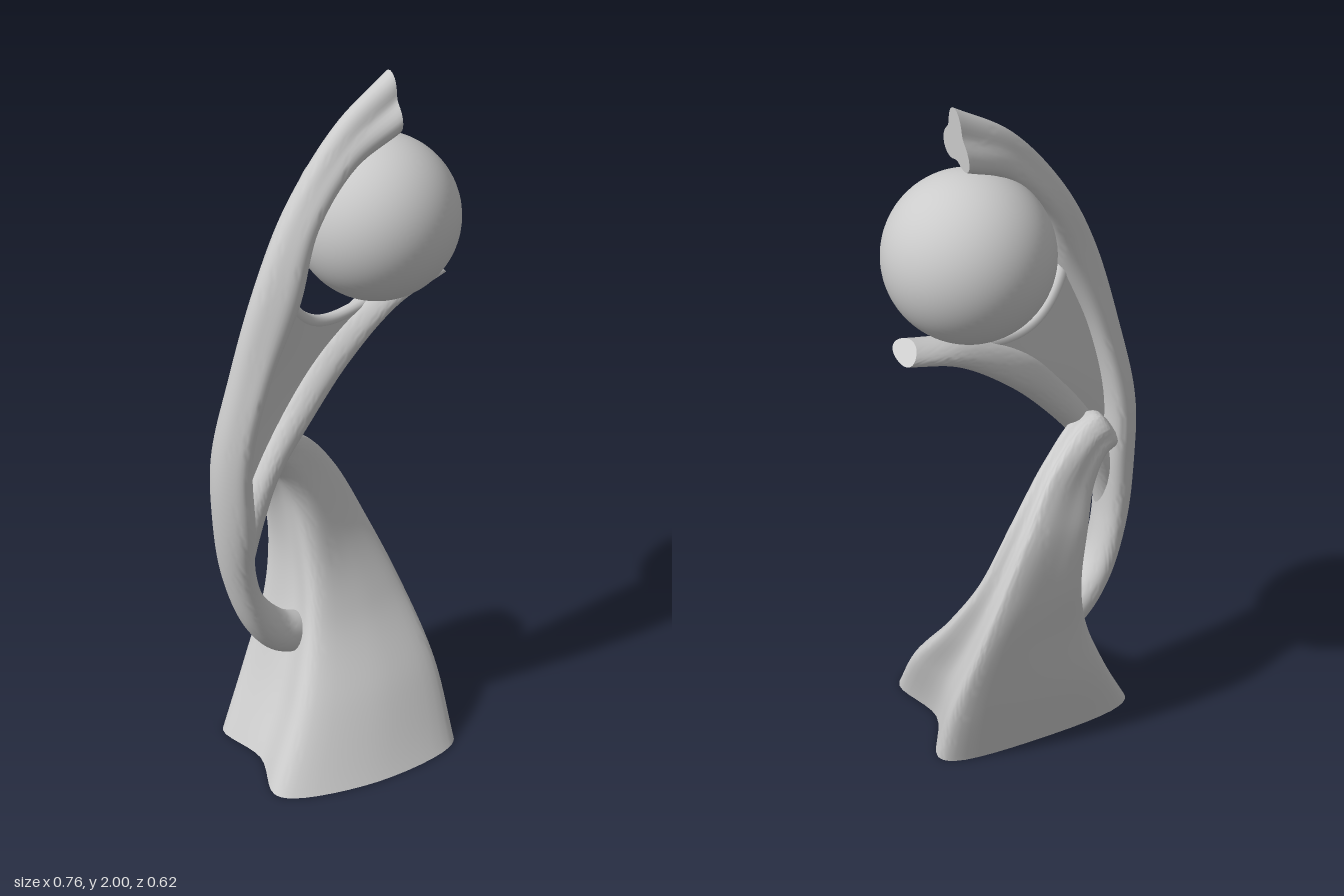
import * as THREE from 'three';
import { toCreasedNormals } from 'three/addons/utils/BufferGeometryUtils.js';

const V = (x, y, z) => new THREE.Vector3(x, y, z);
const grey = new THREE.MeshStandardMaterial({ color: 0xcccccc });
const greyOpen = new THREE.MeshStandardMaterial({ color: 0xcccccc, side: THREE.DoubleSide });

// Skin a list of rings; closed rings can have fan caps at either end
function skin(rings, { closed = true, capStart = false, capEnd = false } = {}) {
  const n = rings[0].length, pos = [], idx = [];
  rings.forEach(r => r.forEach(p => pos.push(p.x, p.y, p.z)));
  for (let i = 0; i < rings.length - 1; i++) {
    for (let j = 0; j < (closed ? n : n - 1); j++) {
      const k = (j + 1) % n, a = i * n + j, b = i * n + k;
      idx.push(a, b, a + n, b, b + n, a + n);
    }
  }
  const cap = (row, flip) => {
    const c = rings[row].reduce((s, p) => s.add(p), V(0, 0, 0)).divideScalar(n);
    const ci = pos.length / 3;
    pos.push(c.x, c.y, c.z);
    for (let j = 0; j < n; j++) {
      const a = row * n + j, b = row * n + (j + 1) % n;
      if (flip) idx.push(ci, b, a); else idx.push(ci, a, b);
    }
  };
  if (capStart) cap(0, true);
  if (capEnd) cap(rings.length - 1, false);
  const g = new THREE.BufferGeometry();
  g.setAttribute('position', new THREE.Float32BufferAttribute(pos, 3));
  g.setIndex(idx);
  return toCreasedNormals(g, 0.9);
}

const spline = pts => new THREE.CatmullRomCurve3(pts);

// Limb from rows: [outerX, outerY, innerX, innerY, z, half depth, lobe strength]
function limb(rows, steps = 90, sides = 40) {
  const outer = spline(rows.map(r => V(r[0], r[1], r[4])));
  const inner = spline(rows.map(r => V(r[2], r[3], r[4])));
  const depth = spline(rows.map((r, i) => V(r[5], r[6], i * 0.1)));
  const rings = [];
  for (let i = 0; i <= steps; i++) {
    const t = i / steps;
    const c = outer.getPoint(t).add(inner.getPoint(t)).multiplyScalar(0.5);
    const u = outer.getPoint(t).sub(c), d = depth.getPoint(t);
    const ring = [];
    for (let j = 0; j < sides; j++) {
      const a = j / sides * Math.PI * 2;
      const r = (1 + d.y * Math.cos(3 * a)) / (1 + d.y);
      const p = c.clone().addScaledVector(u, r * Math.cos(a));
      p.z += d.x * r * Math.sin(a);
      ring.push(p);
    }
    rings.push(ring);
  }
  return skin(rings, { capStart: true, capEnd: true });
}

// Four-cornered skirt section; the front and back bow out, the sides bow in
// Row: [y, tilt, bow, x,z of the corners: front -x, front +x, back +x, back -x]
function skirtRing([y, tilt, bow, ...c], n = 72) {
  const corners = [0, 1, 2, 3].map(i => new THREE.Vector2(c[i * 2], c[i * 2 + 1]));
  const cx = corners.reduce((s, p) => s + p.x, 0) / 4;
  const bulge = [0.055, -0.07, 0.03, -0.05];
  const round = 0.08 + 0.2 * Math.pow(1 - bow, 4);
  const pts = [];
  corners.forEach((p, i) => {
    const q = corners[(i + 1) % 4], dir = q.clone().sub(p).normalize();
    for (const t of [round, 0.5, 1 - round]) {
      const m = p.clone().lerp(q, t);
      const o = bulge[i] * bow * (t === 0.5 ? 1 : 0.2);
      m.x -= dir.y * o;
      m.y += dir.x * o;
      pts.push(V(m.x, y + tilt * (m.x - cx), m.y));
    }
  });
  const curve = new THREE.CatmullRomCurve3(pts, true);
  return Array.from({ length: n }, (_, j) => curve.getPoint(j / n));
}

function skirt() {
  const key = [
    [0.00, 0.0, 1.0, -0.32, 0.265, 0.285, 0.245, 0.30, -0.17, -0.345, -0.125],
    [0.20, 0.0, 0.9, -0.195, 0.165, 0.285, 0.10, 0.27, -0.21, -0.245, -0.175],
    [0.40, 0.0, 0.6, -0.10, 0.04, 0.24, -0.06, 0.21, -0.25, -0.165, -0.20],
    [0.58, 0.05, 0.3, -0.07, -0.03, 0.17, -0.15, 0.135, -0.265, -0.14, -0.23],
    [0.76, 0.2, 0.2, -0.085, -0.07, 0.075, -0.16, 0.045, -0.25, -0.165, -0.215],
    [0.885, 0.7, 0.1, -0.14, -0.06, -0.045, -0.11, -0.055, -0.195, -0.20, -0.17],
    [0.95, 1.7, 0.05, -0.24, -0.02, -0.175, -0.03, -0.175, -0.14, -0.24, -0.14],
    [0.96, 1.9, 0.0, -0.285, -0.03, -0.235, -0.03, -0.235, -0.115, -0.285, -0.115],
    [0.96, 1.9, 0.0, -0.285, -0.06, -0.26, -0.06, -0.26, -0.09, -0.285, -0.09],
  ].map(r => skirtRing(r));
  const columns = key[0].map((_, j) => spline(key.map(r => r[j])));
  const rings = [];
  for (let i = 0; i <= 80; i++) rings.push(columns.map(c => c.getPoint(i / 80)));
  return skin(rings, { capEnd: true });
}

export function createModel() {
  const model = new THREE.Group();
  const add = (name, geometry, material = grey) => {
    const mesh = new THREE.Mesh(geometry, material);
    mesh.name = name;
    model.add(mesh);
    return mesh;
  };

  // Held ball
  add('ball', new THREE.SphereGeometry(0.228, 64, 48)).position.set(0.15, 1.587, -0.083);

  // Flowing hollow base curling up behind the body
  add('skirtBase', skirt(), greyOpen);

  // Long outer band: rounded hook at the bottom, body, raised arm
  add('raisedArm', limb([
    [-0.095, 0.30, -0.08, 0.335, -0.06, 0.025, 0],
    [-0.125, 0.27, -0.08, 0.37, -0.055, 0.055, 0],
    [-0.205, 0.305, -0.15, 0.41, -0.04, 0.065, 0],
    [-0.285, 0.41, -0.225, 0.50, -0.025, 0.067, 0],
    [-0.35, 0.60, -0.26, 0.625, -0.01, 0.072, 0.02],
    [-0.38, 0.81, -0.265, 0.79, 0.01, 0.084, 0.05],
    [-0.38, 1.00, -0.27, 1.02, 0.015, 0.084, 0.07],
    [-0.335, 1.23, -0.215, 1.26, 0.03, 0.077, 0.1],
    [-0.255, 1.50, -0.125, 1.46, 0.03, 0.07, 0.1],
    [-0.15, 1.70, -0.065, 1.635, 0.0, 0.065, 0.1],
    [0.01, 1.89, 0.045, 1.76, -0.035, 0.068, 0.16],
    [0.18, 2.00, 0.174, 1.82, -0.072, 0.095, 0.26],
  ], 110));

  // Lower arm reaching under the ball, growing out of the band
  add('lowerArm', limb([
    [-0.335, 0.56, -0.28, 0.57, 0.0, 0.03, 0],
    [-0.335, 0.69, -0.262, 0.68, 0.005, 0.045, 0],
    [-0.305, 0.84, -0.228, 0.80, 0.0, 0.055, 0],
    [-0.24, 0.975, -0.18, 0.915, -0.01, 0.055, 0],
    [-0.14, 1.12, -0.07, 1.05, -0.035, 0.055, 0.04],
    [-0.01, 1.26, 0.06, 1.18, -0.075, 0.06, 0.06],
    [0.17, 1.365, 0.22, 1.30, -0.115, 0.062, 0.06],
    [0.33, 1.405, 0.378, 1.36, -0.145, 0.068, 0.06],
  ]));

  // Chest web stretched between both arms, sagging towards its rounded top edge
  const left = spline([V(-0.3, 0.8, 0.01), V(-0.3, 1.05, 0.015), V(-0.25, 1.26, 0.02), V(-0.17, 1.5, 0.02)]);
  const right = spline([V(-0.26, 0.8, 0), V(-0.15, 1.03, -0.025), V(0, 1.2, -0.07), V(0.17, 1.335, -0.11)]);
  const webRow = (t, offset) => Array.from({ length: 21 }, (_, j) => {
    const s = j / 20, sag = Math.sin(Math.PI * Math.pow(s, 0.65)) * t;
    const p = left.getPoint(t).lerp(right.getPoint(t), s);
    return p.add(V(0, -0.11 * sag, offset - 0.02 * sag));
  });
  for (const [name, offset] of [['chestWebFront', 0.016], ['chestWebBack', -0.016]]) {
    const rows = Array.from({ length: 31 }, (_, i) => webRow(i / 30, offset));
    add(name, skin(rows, { closed: false }), greyOpen);
  }
  add('webRim', new THREE.TubeGeometry(spline(webRow(1, 0)), 40, 0.018, 12));

  return model;
}
